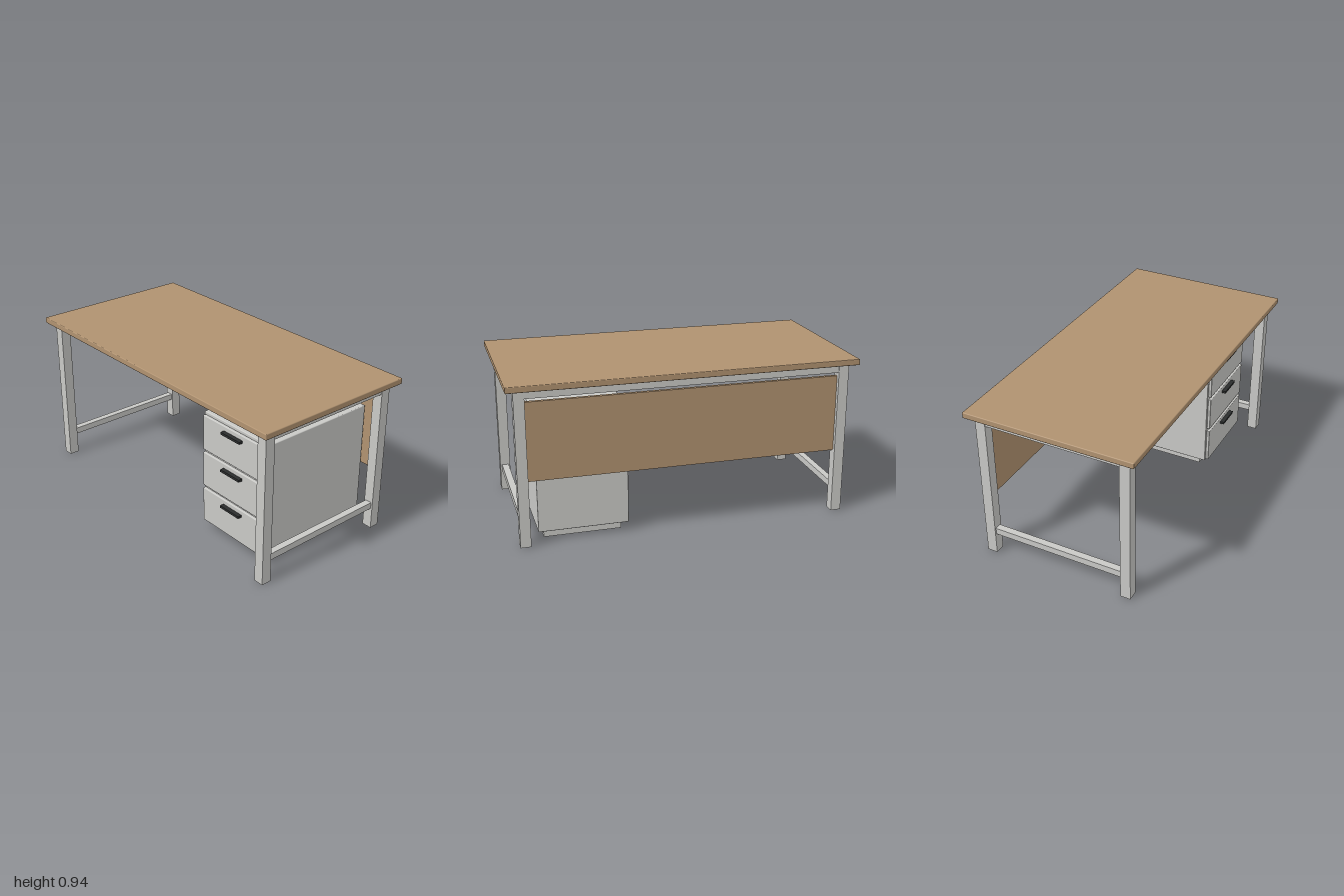
import * as THREE from 'three';
import { RoundedBoxGeometry } from 'three/addons/geometries/RoundedBoxGeometry.js';

const wood = new THREE.MeshStandardMaterial({ name: 'wood', color: 0xb09270 });
const metal = new THREE.MeshStandardMaterial({ name: 'grey metal', color: 0xc9c9c6 });
const dark = new THREE.MeshStandardMaterial({ name: 'dark handle', color: 0x2b2d2d });

// Box given by its limits on each axis, with optional softened edges
function block(parent, name, material, [x0, x1], [y0, y1], [z0, z1], radius = 0) {
  const size = [x1 - x0, y1 - y0, z1 - z0];
  const geometry = radius ? new RoundedBoxGeometry(...size, 2, radius) : new THREE.BoxGeometry(...size);
  const mesh = new THREE.Mesh(geometry, material);
  mesh.name = name;
  mesh.position.set((x0 + x1) / 2, (y0 + y1) / 2, (z0 + z1) / 2);
  parent.add(mesh);
  return mesh;
}

function createFrame() {
  const frame = new THREE.Group();
  frame.name = 'frame';
  for (const side of [-1, 1]) {
    const label = side > 0 ? 'left' : 'right';
    const x = side * 0.925;
    // Legs
    for (const end of [-1, 1]) {
      const z = end * 0.425;
      block(frame, `${label}${end > 0 ? 'Front' : 'Back'}Leg`, metal,
        [x - 0.03, x + 0.03], [0, 0.905], [z - 0.03, z + 0.03]);
    }
    // Side rail under the top and low stretcher
    block(frame, `${label}SideRail`, metal, [x - 0.025, x + 0.025], [0.853, 0.905], [-0.395, 0.395]);
    block(frame, `${label}Stretcher`, metal, [x - 0.02, x + 0.02], [0.126, 0.165], [-0.395, 0.395]);
  }
  block(frame, 'backRail', metal, [-0.895, 0.895], [0.853, 0.905], [-0.45, -0.4]);
  return frame;
}

function createPedestal() {
  const pedestal = new THREE.Group();
  pedestal.name = 'drawerPedestal';
  block(pedestal, 'plinth', metal, [0.365, 0.81], [0, 0.058], [-0.348, 0.275]);
  block(pedestal, 'cabinet', metal, [0.328, 0.845], [0.053, 0.75], [-0.395, 0.325], 0.005);
  // Three drawers, bottom to top
  for (let i = 0; i < 3; i++) {
    const y = 0.062 + i * 0.23;
    block(pedestal, 'drawerFront', metal, [0.337, 0.837], [y, y + 0.213], [0.326, 0.345], 0.005);
    block(pedestal, 'drawerHandle', dark, [0.512, 0.662], [y + 0.172, y + 0.186], [0.344, 0.37]);
  }
  return pedestal;
}

export function createModel() {
  const desk = new THREE.Group();
  desk.name = 'desk';
  block(desk, 'tabletop', wood, [-1, 1], [0.903, 0.938], [-0.5, 0.5], 0.005);
  block(desk, 'modestyPanel', wood, [-0.895, 0.895], [0.378, 0.83], [-0.433, -0.413]);
  desk.add(createFrame(), createPedestal());
  return desk;
}
